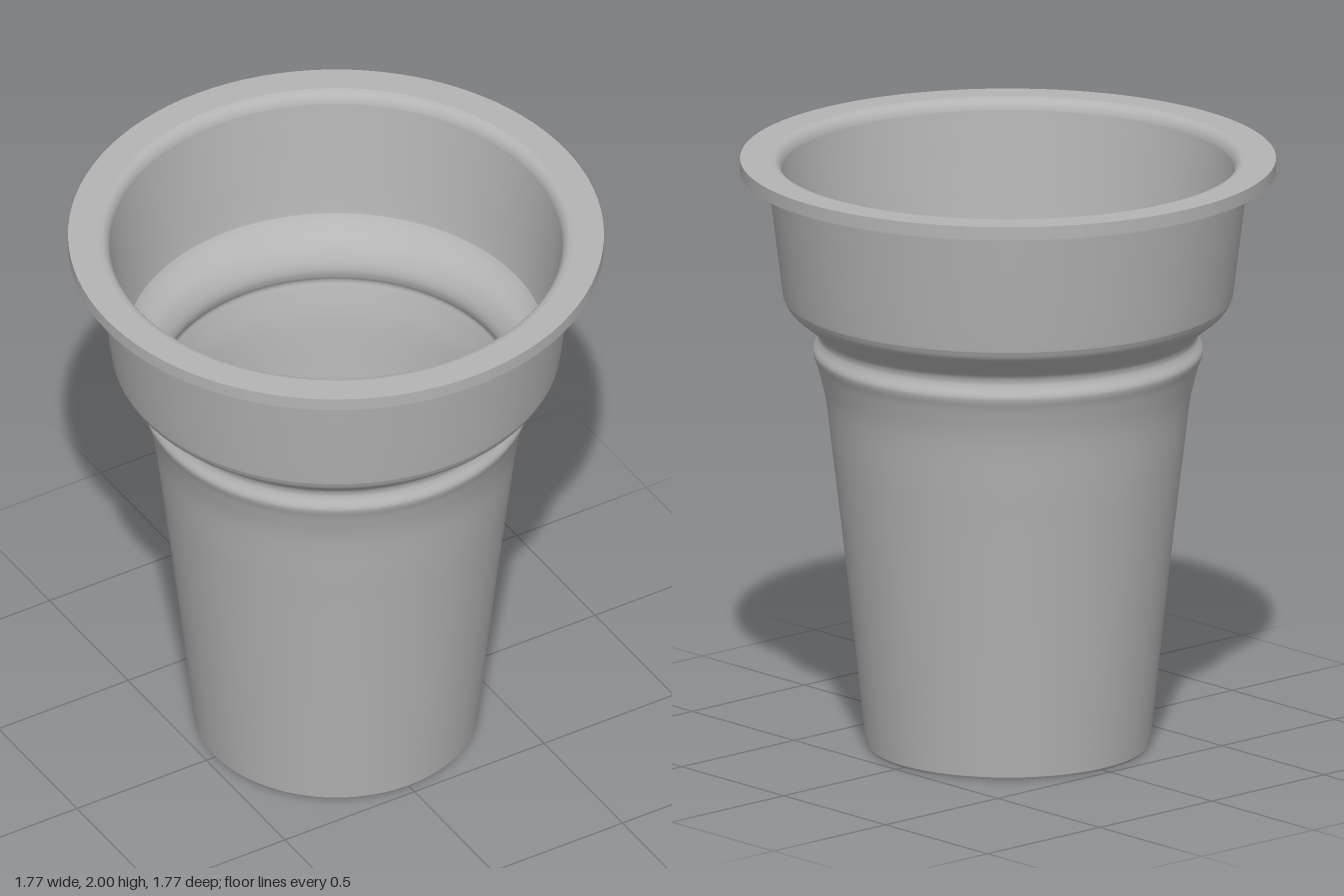
import * as THREE from 'three';

const SEGMENTS = 96;

// Smooth profile through a few [radius, height] points
function curve(points, divisions) {
  return new THREE.SplineCurve(points.map(([r, y]) => new THREE.Vector2(r, y))).getPoints(divisions);
}

function line(points) {
  return points.map(([r, y]) => new THREE.Vector2(r, y));
}

export function createModel() {
  const cup = new THREE.Group();
  cup.name = 'cup';
  const grey = new THREE.MeshStandardMaterial({ color: 0xb4b4b4 });
  grey.name = 'grey';

  const addLathe = (name, profile) => {
    const mesh = new THREE.Mesh(new THREE.LatheGeometry(profile, SEGMENTS), grey);
    mesh.name = name;
    cup.add(mesh);
  };

  // Underside, with a tiny bevel where it meets the wall
  addLathe('base', line([[0, 0], [0.465, 0]]));
  addLathe('baseBevel', line([[0.465, 0], [0.47, 0.008]]));

  // Outer wall: tapered body, bead, groove, shoulder and collar
  addLathe('outerBody', curve([
    [0.47, 0.008], [0.511, 0.4], [0.556, 0.8], [0.58, 1.0], [0.602, 1.18], [0.628, 1.29], [0.643, 1.335],
    [0.643, 1.355], [0.63, 1.38], [0.626, 1.4], [0.637, 1.425], [0.68, 1.462], [0.722, 1.497],
    [0.739, 1.525], [0.746, 1.56], [0.77, 1.75], [0.795, 1.955],
  ], 96));

  // Flat rim flange
  addLathe('rimUnderside', line([[0.795, 1.955], [0.885, 1.955]]));
  addLathe('rimEdge', line([[0.885, 1.955], [0.885, 2]]));
  addLathe('rimTop', line([[0.885, 2], [0.785, 2]]));

  // Inner wall follows the outside, starting from a rounded lip
  addLathe('innerWall', curve([
    [0.785, 2], [0.765, 1.992], [0.75, 1.97], [0.744, 1.93], [0.722, 1.75], [0.699, 1.57], [0.69, 1.54],
    [0.66, 1.51], [0.615, 1.475], [0.587, 1.435], [0.577, 1.4], [0.582, 1.37], [0.592, 1.345],
    [0.583, 1.31], [0.556, 1.2], [0.532, 1.0], [0.508, 0.8], [0.463, 0.4], [0.423, 0.05],
  ], 108));

  // Inside floor
  addLathe('floor', line([[0.423, 0.05], [0, 0.05]]));
  return cup;
}
